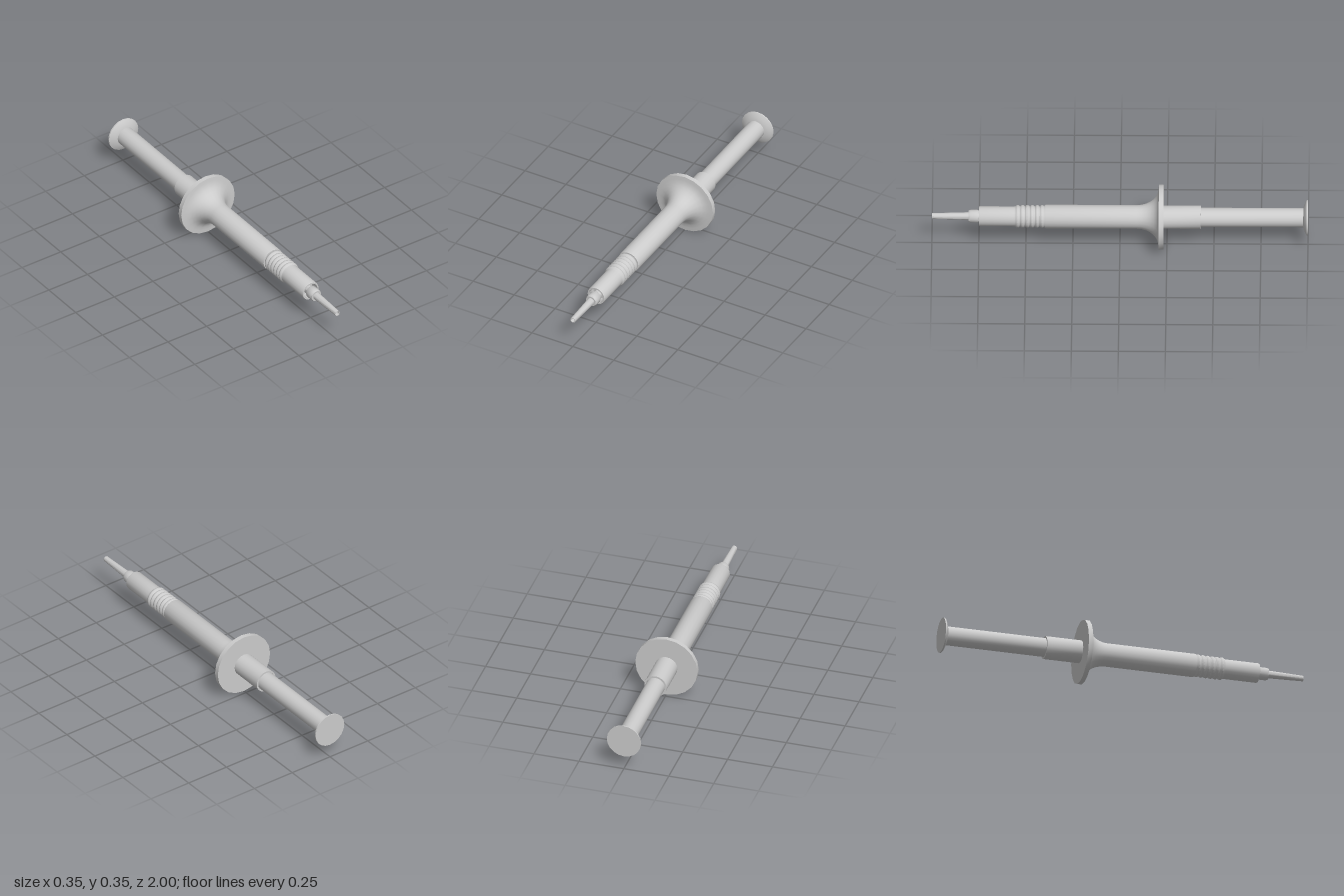
import * as THREE from 'three';
import { toCreasedNormals } from 'three/addons/utils/BufferGeometryUtils.js';

const SIDES = 20;
const AXIS_Y = 0.174;
const material = new THREE.MeshStandardMaterial({ color: 0xcccccc, side: THREE.DoubleSide });

// Turns a [radius, z] profile around the long axis (z)
function turned(name, profile) {
  const points = profile.map(([r, z]) => new THREE.Vector2(r, z));
  const geometry = new THREE.LatheGeometry(points, SIDES).rotateX(Math.PI / 2);
  const mesh = new THREE.Mesh(toCreasedNormals(geometry, 0.6), material);
  mesh.name = name;
  mesh.position.y = AXIS_Y;
  return mesh;
}

export function createModel() {
  const group = new THREE.Group();
  group.name = 'syringe';

  // Finger flange with a concave flare running into the barrel
  const flare = [];
  for (let i = 0; i <= 7; i++) {
    const a = (i / 7) * Math.PI / 2;
    flare.push([0.153 - 0.09 * Math.sin(a), -0.09 - 0.115 * Math.cos(a)]);
  }
  group.add(turned('barrel', [
    [0.052, -0.23], [0.052, -0.43], [0.062, -0.43], [0.062, -0.232],
    [0.173, -0.232], [0.173, -0.207], ...flare,
    [0.063, 0.395], [0.061, 0.4], [0.053, 0.4],
  ]));

  // Ribbed grip and the hollow front sleeve
  const ribs = [];
  for (let i = 0; i < 6; i++) {
    const z = 0.408 + i * 0.026;
    ribs.push([0.054, z - 0.006], [0.059, z - 0.001], [0.061, z + 0.006],
      [0.059, z + 0.013], [0.054, z + 0.018]);
  }
  group.add(turned('ribbedSleeve', [
    [0.053, 0.398], ...ribs, [0.053, 0.565],
    [0.053, 0.745], [0.051, 0.75], [0.044, 0.75], [0.044, 0.7], [0, 0.7],
  ]));

  // Collar on a narrow neck
  group.add(turned('collar', [
    [0.024, 0.7], [0.024, 0.748], [0.03, 0.75], [0.034, 0.757],
    [0.034, 0.795], [0.03, 0.805], [0.02, 0.805],
  ]));

  // Tapered hollow nozzle
  group.add(turned('nozzle', [
    [0.021, 0.8], [0.018, 0.9], [0.015, 1], [0.012, 1], [0.012, 0.9], [0, 0.9],
  ]));

  // Plunger rod reaching inside the barrel
  group.add(turned('plungerRod', [
    [0, -0.985], [0.051, -0.985], [0.051, -0.22], [0, -0.22],
  ]));

  // Thumb rest
  group.add(turned('thumbRest', [
    [0, -1], [0.095, -1], [0.095, -0.993], [0.085, -0.987], [0.071, -0.981],
    [0.06, -0.977], [0.051, -0.975],
  ]));

  return group;
}
